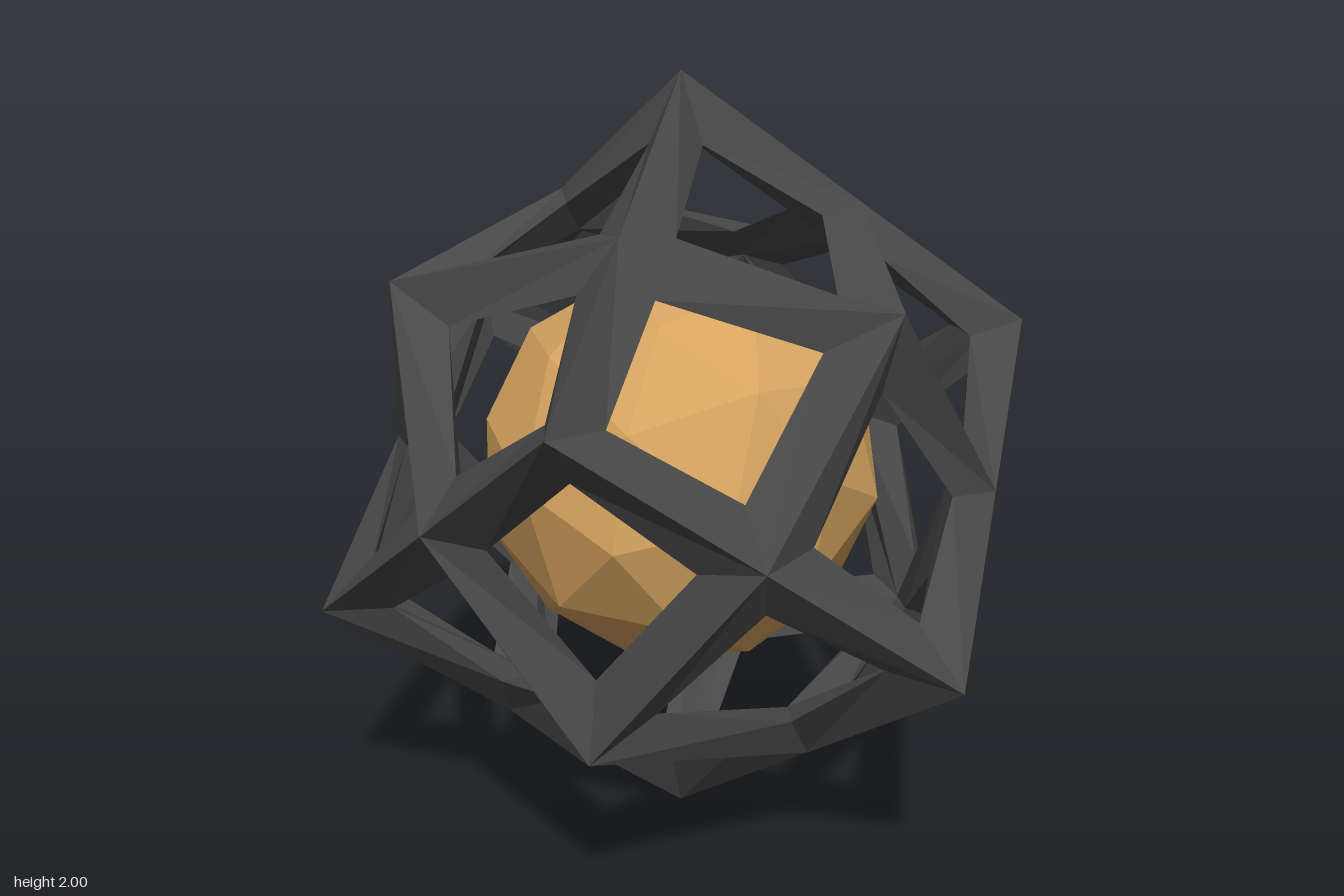
import * as THREE from 'three';

const WIDTH = 0.097;  // bar half width, measured along a face
const DEPTH = 0.125;  // bar thickness, measured towards the centre
const CENTRE_RADIUS = 0.887; // how far the raised cube-face centres stand out

// Cube axes, turned so that one cube corner points straight up
const AXES = [
  new THREE.Vector3(-Math.sqrt(2 / 3), Math.sqrt(1 / 3), 0),
  new THREE.Vector3(Math.sqrt(1 / 6), Math.sqrt(1 / 3), Math.SQRT1_2),
  new THREE.Vector3(Math.sqrt(1 / 6), Math.sqrt(1 / 3), -Math.SQRT1_2),
];

// The four corners of each of the 24 windows, counter-clockwise from outside
function windowLoops() {
  const loops = [];
  const half = 1 / Math.sqrt(3);
  for (let a = 0; a < 3; a++) {
    for (const s of [-1, 1]) for (const t of [-1, 1]) for (const u of [-1, 1]) {
      const n = AXES[a].clone().multiplyScalar(s);
      const p = AXES[(a + 1) % 3].clone().multiplyScalar(t);
      const q = AXES[(a + 2) % 3].clone().multiplyScalar(u);
      const loop = [
        n.clone().multiplyScalar(CENTRE_RADIUS),
        n.clone().add(p).multiplyScalar(half),
        n.clone().add(p).add(q).multiplyScalar(half),
        n.clone().add(q).multiplyScalar(half),
      ];
      if (s * t * u < 0) loop.reverse();
      loops.push(loop);
    }
  }
  return loops;
}

const sink = (v, d) => v.clone().setLength(v.length() - d);

// Window corner: moved inward from both edges and half the bar depth down
function insetCorner(prev, v, next) {
  const e = prev.clone().sub(v).normalize();
  const f = next.clone().sub(v).normalize();
  const sine = e.clone().cross(f).length();
  return sink(v, DEPTH / 2).addScaledVector(e.add(f), WIDTH / sine);
}

// Diamond-section bars: an outer slope and an inner slope around each window
function cageGeometry() {
  const pos = [];
  const quad = (a, b, c, d) => {
    for (const v of [a, b, c, a, c, d]) pos.push(v.x, v.y, v.z);
  };
  for (const loop of windowLoops()) {
    const holes = loop.map((v, i) => insetCorner(loop[(i + 3) % 4], v, loop[(i + 1) % 4]));
    const inner = loop.map((v) => sink(v, DEPTH));
    for (let i = 0; i < 4; i++) {
      const j = (i + 1) % 4;
      quad(loop[i], loop[j], holes[j], holes[i]);
      quad(holes[i], holes[j], inner[j], inner[i]);
    }
  }
  const geometry = new THREE.BufferGeometry();
  geometry.setAttribute('position', new THREE.Float32BufferAttribute(pos, 3));
  geometry.computeVertexNormals();
  return geometry;
}

export function createModel() {
  const model = new THREE.Group();
  model.name = 'cagedBall';

  const cage = new THREE.Mesh(
    cageGeometry(),
    new THREE.MeshStandardMaterial({ color: 0x484848, flatShading: true })
  );
  cage.name = 'cage';
  cage.position.y = 1;
  model.add(cage);

  // Faceted ball floating in the middle
  const core = new THREE.Mesh(
    new THREE.IcosahedronGeometry(0.525, 1),
    new THREE.MeshStandardMaterial({ color: 0xd8a560, flatShading: true })
  );
  core.name = 'core';
  core.position.y = 1;
  core.rotation.z = THREE.MathUtils.degToRad(105);
  model.add(core);

  return model;
}
